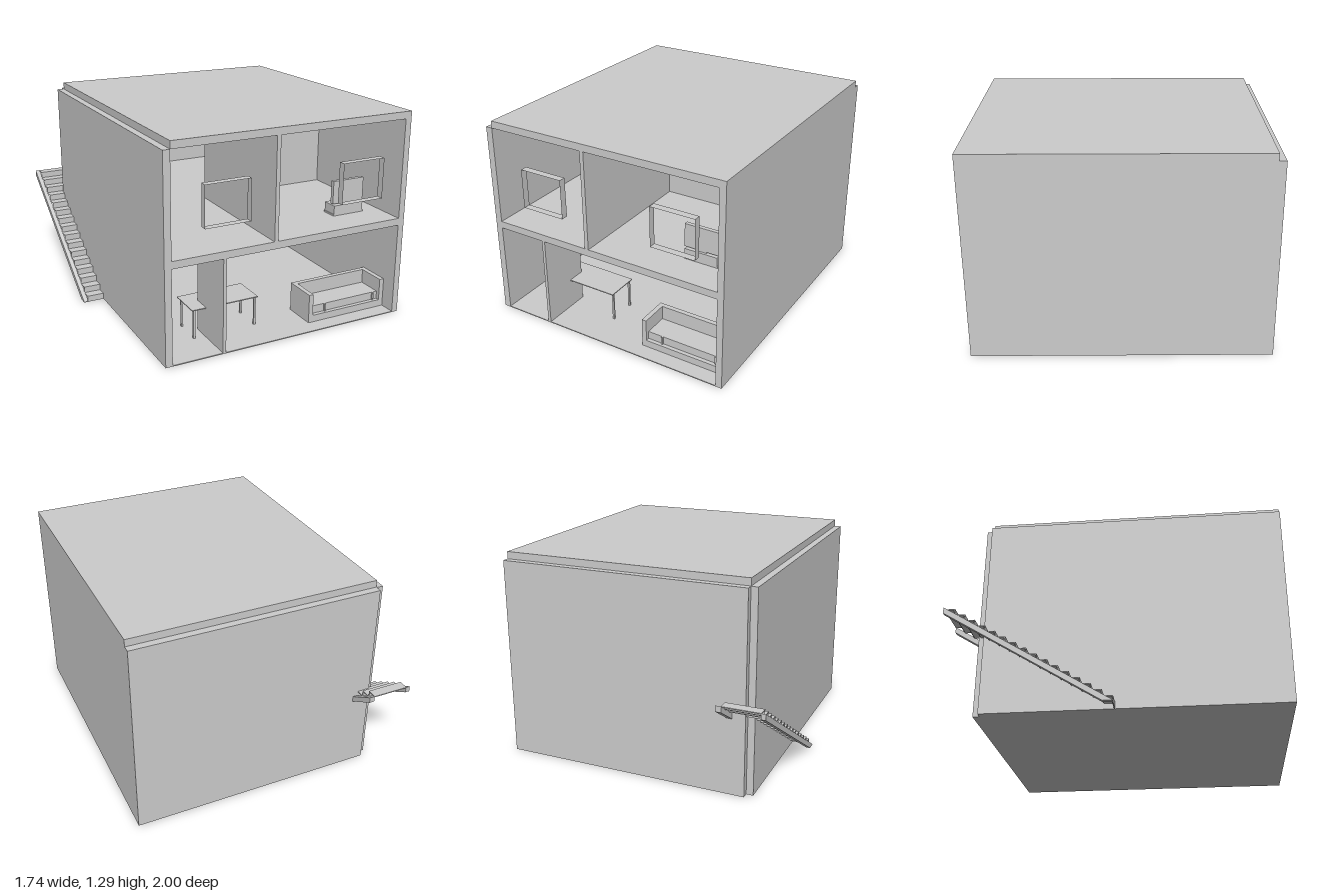
import * as THREE from 'three';

export function createModel() {
  const model = new THREE.Group();
  const grey = new THREE.MeshStandardMaterial({ color: 0xcccccc, side: THREE.DoubleSide });
  grey.name = 'light grey';

  const group = (name) => {
    const g = new THREE.Group();
    g.name = name;
    model.add(g);
    return g;
  };
  // Box given by its limits on each axis
  const box = (parent, name, x0, x1, y0, y1, z0, z1) => {
    const m = new THREE.Mesh(new THREE.BoxGeometry(x1 - x0, y1 - y0, z1 - z0), grey);
    m.position.set((x0 + x1) / 2, (y0 + y1) / 2, (z0 + z1) / 2);
    m.name = name;
    parent.add(m);
    return m;
  };

  // Shell, open at the front; outer corner left notched
  const shell = group('houseShell');
  box(shell, 'groundFloor', -0.695, 0.865, 0, 0.006, -0.78, 1);
  box(shell, 'upperFloor', -0.695, 0.825, 0.585, 0.63, -0.78, 1);
  box(shell, 'roof', -0.695, 0.865, 1.25, 1.295, -0.78, 1);
  box(shell, 'sideWallWest', -0.738, -0.695, 0, 1.25, -0.785, 1);
  box(shell, 'sideWallEast', 0.825, 0.865, 0, 1.25, -0.78, 1);
  box(shell, 'backWall', -0.695, 0.865, 0, 1.25, -0.825, -0.78);

  // Inner walls
  const inner = group('innerWalls');
  box(inner, 'lowerPartition', -0.38, -0.36, 0.006, 0.585, 0.67, 1);
  box(inner, 'upperPartition', -0.055, -0.03, 0.63, 1.25, 0.11, 1);
  box(inner, 'upperRoomWall', -0.03, 0.825, 0.63, 1.25, 0.07, 0.11);

  // Window linings: open square loops of thin sheet
  const lining = (name, x0, x1, y0, y1) => {
    const g = group(name);
    const cx = (x0 + x1) / 2, cy = (y0 + y1) / 2, depth = 0.045;
    for (const s of [-1, 1]) {
      const side = new THREE.Mesh(new THREE.PlaneGeometry(depth, y1 - y0), grey);
      side.rotation.y = Math.PI / 2;
      side.position.set(cx + s * (x1 - x0) / 2, cy, 1 - depth / 2);
      side.name = 'liningSide';
      const rail = new THREE.Mesh(new THREE.PlaneGeometry(x1 - x0, depth), grey);
      rail.rotation.x = -Math.PI / 2;
      rail.position.set(cx, cy + s * (y1 - y0) / 2, 1 - depth / 2);
      rail.name = 'liningRail';
      g.add(side, rail);
    }
  };
  lining('windowLiningWest', -0.495, -0.21, 0.78, 1.03);
  lining('windowLiningEast', 0.40, 0.685, 0.78, 1.03);

  // Table
  const table = group('table');
  box(table, 'tableTop', -0.47, -0.03, 0.192, 0.198, 0.57, 0.784);
  for (const x of [-0.455, -0.047])
    for (const z of [0.585, 0.757]) box(table, 'tableLeg', x, x + 0.012, 0.006, 0.192, z, z + 0.012);

  // Sofa
  const sofa = group('sofa');
  box(sofa, 'sofaArm', 0.265, 0.295, 0.006, 0.19, 0.69, 0.9);
  box(sofa, 'sofaArm', 0.795, 0.825, 0.006, 0.19, 0.69, 0.9);
  box(sofa, 'sofaBack', 0.295, 0.795, 0.006, 0.19, 0.69, 0.72);
  box(sofa, 'sofaBase', 0.295, 0.795, 0.006, 0.05, 0.72, 0.9);
  box(sofa, 'sofaSeat', 0.295, 0.795, 0.05, 0.1, 0.72, 0.875);
  for (const x of [0.39, 0.755]) box(sofa, 'sofaSupport', x, x + 0.01, 0.05, 0.1, 0.875, 0.885);

  // Screen on a flared stand
  const screen = group('screenUnit');
  box(screen, 'screen', 0.49, 0.71, 0.705, 0.85, 0.755, 0.78);
  box(screen, 'screenNeck', 0.57, 0.63, 0.695, 0.705, 0.755, 0.775);
  box(screen, 'stand', 0.495, 0.705, 0.64, 0.695, 0.69, 0.79);
  box(screen, 'standFoot', 0.49, 0.71, 0.63, 0.64, 0.69, 0.79);

  // Stair rising towards the back, through the side wall
  const stairs = group('stairs');
  const steps = 16, run = 1 / steps, rise = 0.625 / steps;
  for (let i = 0; i < steps; i++) {
    const z = -i * run, y = (i + 1) * rise;
    box(stairs, 'tread', -0.845, -0.615, y - 0.006, y, z - run, z);
    box(stairs, 'riser', -0.845, -0.615, y - rise, y - 0.006, z - 0.006, z);
  }
  // Stringer profile: horizontal axis is the distance towards the back
  const profile = new THREE.Shape([
    [0, 0], [0.056, 0], [1, 0.588], [1, 0.625], [0, 0.003],
  ].map(([d, y]) => new THREE.Vector2(d, y)));
  for (const [x0, x1] of [[-0.87, -0.842], [-0.615, -0.582]]) {
    const geo = new THREE.ExtrudeGeometry(profile, { depth: x1 - x0, bevelEnabled: false });
    geo.rotateY(Math.PI / 2);
    const m = new THREE.Mesh(geo, grey);
    m.position.x = x0;
    m.name = 'stringer';
    stairs.add(m);
  }
  return model;
}
